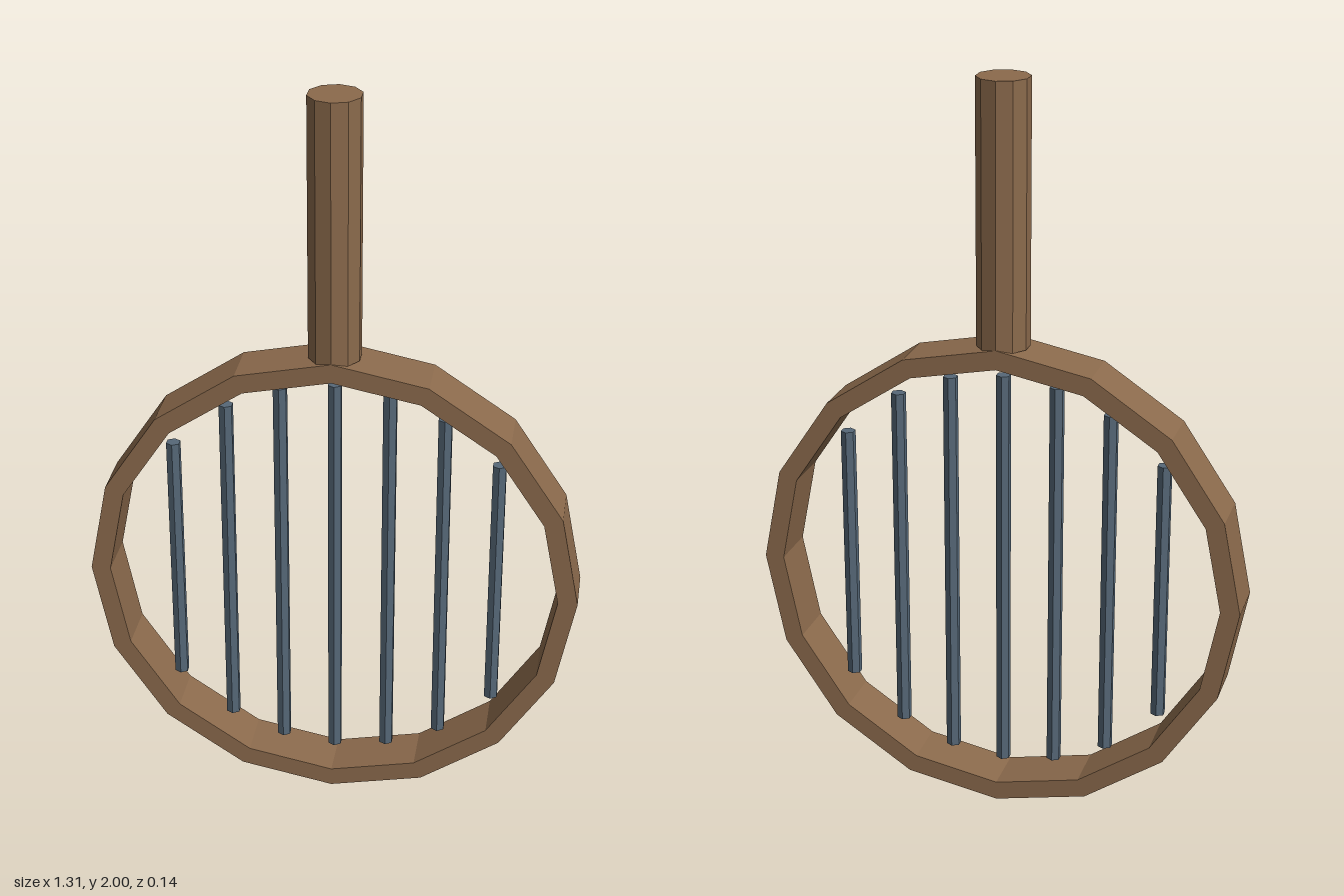
import * as THREE from 'three';

export function createModel() {
  const model = new THREE.Group();
  const wood = new THREE.MeshStandardMaterial({ color: 0x8b6a4c, flatShading: true });
  wood.name = 'brown wood';
  const steel = new THREE.MeshStandardMaterial({ color: 0x566878, flatShading: true });
  steel.name = 'blue grey steel';

  const add = (name, geometry, material, x, y) => {
    const mesh = new THREE.Mesh(geometry, material);
    mesh.name = name;
    mesh.position.set(x, y, 0);
    model.add(mesh);
  };

  const outer = 0.655, inner = 0.603, half = 0.071, centreY = 0.655;

  // Sixteen-sided hoop with a rectangular section, axis along z
  const section = [
    [inner, -half], [outer, -half], [outer, half], [inner, half], [inner, -half],
  ].map(([r, h]) => new THREE.Vector2(r, h));
  add('hoop', new THREE.LatheGeometry(section, 16).rotateX(Math.PI / 2), wood, 0, centreY);

  // Ten-sided handle resting on top of the hoop
  const handleBottom = 1.302, handleLength = 2 - handleBottom;
  add('handle', new THREE.CylinderGeometry(0.07, 0.07, handleLength, 10), wood,
    0, handleBottom + handleLength / 2);

  // Upright bars, their ends following a smaller circle
  for (let i = -3; i <= 3; i++) {
    const x = i * 0.144;
    const length = 2 * Math.sqrt(0.562 ** 2 - x ** 2);
    add('bar', new THREE.CylinderGeometry(0.02, 0.02, length, 6), steel, x, centreY + 0.004);
  }
  return model;
}
